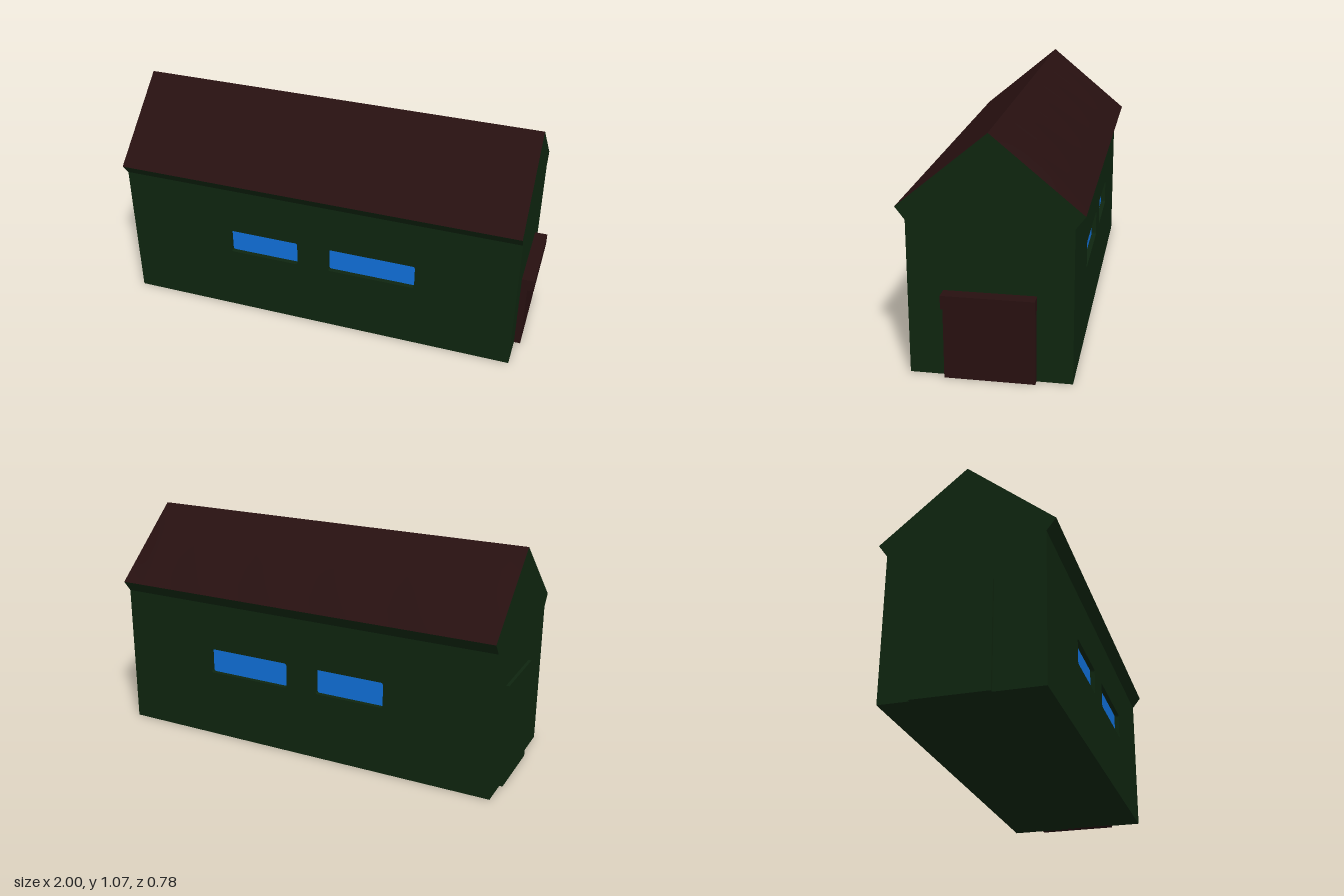
import * as THREE from 'three';

const X0 = -0.985, X1 = 0.94, LEN = X1 - X0, MID = (X0 + X1) / 2;
const WALL = 0.35, WALL_TOP = 0.69, EAVE = 0.392, EAVE_Y = 0.745, RIDGE = 1.07, RECESS = 0.022;

const mat = (name, color) => {
  const m = new THREE.MeshStandardMaterial({ color });
  m.name = name;
  return m;
};

// Rounded rectangle outline, usable as a shape or a hole
function roundedRect(path, x0, y0, x1, y1, r) {
  path.moveTo(x0 + r, y0).lineTo(x1 - r, y0).quadraticCurveTo(x1, y0, x1, y0 + r)
    .lineTo(x1, y1 - r).quadraticCurveTo(x1, y1, x1 - r, y1)
    .lineTo(x0 + r, y1).quadraticCurveTo(x0, y1, x0, y1 - r)
    .lineTo(x0, y0 + r).quadraticCurveTo(x0, y0, x0 + r, y0);
  return path;
}

// Strip along the building between two (z, y) edges, with an optional outward bulge
function strip(a, b, nx = 1, nv = 1, bulge = () => 0) {
  const g = new THREE.PlaneGeometry(1, 1, nx, nv), p = g.attributes.position;
  const dz = b[0] - a[0], dy = b[1] - a[1], l = Math.hypot(dz, dy);
  for (let i = 0; i < p.count; i++) {
    const u = p.getX(i) + 0.5, v = 0.5 - p.getY(i), d = bulge(u, v);
    p.setXYZ(i, X0 + LEN * u, a[1] + dy * v + d * Math.abs(dz) / l,
      a[0] + dz * v + d * Math.sign(dz) * Math.abs(dy) / l);
  }
  g.computeVertexNormals();
  return g;
}

export function createModel() {
  const group = new THREE.Group();
  const green = mat('dark green walls', 0x0e250f);
  const brown = mat('dark brown roof', 0x271010);
  const blue = mat('blue glass', 0x106fd8);
  green.side = brown.side = THREE.DoubleSide;

  const add = (name, geometry, material, parent = group) => {
    const m = new THREE.Mesh(geometry, material);
    m.name = name;
    parent.add(m);
    return m;
  };
  const box = (name, material, x0, x1, y0, y1, z0, z1) =>
    add(name, new THREE.BoxGeometry(x1 - x0, y1 - y0, z1 - z0), material)
      .position.set((x0 + x1) / 2, (y0 + y1) / 2, (z0 + z1) / 2);

  // Long walls with recessed windows
  const windows = [[-0.46, -0.115], [0.04, 0.465]];
  for (const side of [1, -1]) {
    const wall = new THREE.Group();
    wall.name = side > 0 ? 'frontWall' : 'backWall';
    group.add(wall);
    const shape = new THREE.Shape([[X0, 0], [X1, 0], [X1, WALL_TOP], [X0, WALL_TOP]]
      .map(([x, y]) => new THREE.Vector2(x, y)));
    for (const [a, b] of windows) {
      shape.holes.push(roundedRect(new THREE.Path(), a, 0.333, b, 0.457, 0.012));
      const pane = add('windowPane', new THREE.BoxGeometry(b - a + 0.02, 0.144, 0.006), blue, wall);
      pane.position.set((a + b) / 2, 0.395, side * (WALL - RECESS - 0.003));
    }
    const g = new THREE.ExtrudeGeometry(shape, { depth: RECESS, bevelEnabled: false, curveSegments: 4 });
    add('wallPanel', g, green, wall).position.z = side > 0 ? WALL - RECESS : -WALL;
    // Sloping eave underside
    add('eave', strip([side * EAVE, EAVE_Y], [side * WALL, WALL_TOP]), green, wall);
  }

  // Gable ends
  const outline = [[-WALL, 0], [WALL, 0], [WALL, WALL_TOP], [EAVE, EAVE_Y], [0, RIDGE], [-EAVE, EAVE_Y], [-WALL, WALL_TOP]];
  const gable = new THREE.ShapeGeometry(new THREE.Shape(outline.map(([z, y]) => new THREE.Vector2(z, y))));
  for (const side of [1, -1]) {
    const m = add(side > 0 ? 'leftGable' : 'rightGable', gable, green);
    m.position.x = side > 0 ? X1 : X0;
    m.rotation.y = side * Math.PI / 2;
  }

  // Floor
  box('floor', green, X0, X1, 0, 0.004, -WALL, WALL);

  // Roof: flat front slope, slightly sagging and buckled back slope
  add('frontRoof', strip([0, RIDGE], [EAVE, EAVE_Y]), brown);
  const buckle = (u, v) => Math.sin(Math.PI * v) * Math.min(1, u * 16, (1 - u) * 16)
    * (0.019 + 0.006 * Math.cos(u * Math.PI * 10));
  add('backRoof', strip([0, RIDGE], [-EAVE, EAVE_Y], 32, 6, buckle), brown);

  // Brown door with a projecting lintel, and a plain door at the other end
  box('door', brown, X1 - 0.01, 0.97, 0, 0.33, -0.195, 0.195);
  box('doorLintel', brown, X1 - 0.01, 1, 0.33, 0.39, -0.197, 0.197);
  box('plainDoor', green, -1, X0 + 0.01, 0, 0.495, -0.21, 0.13);

  return group;
}
